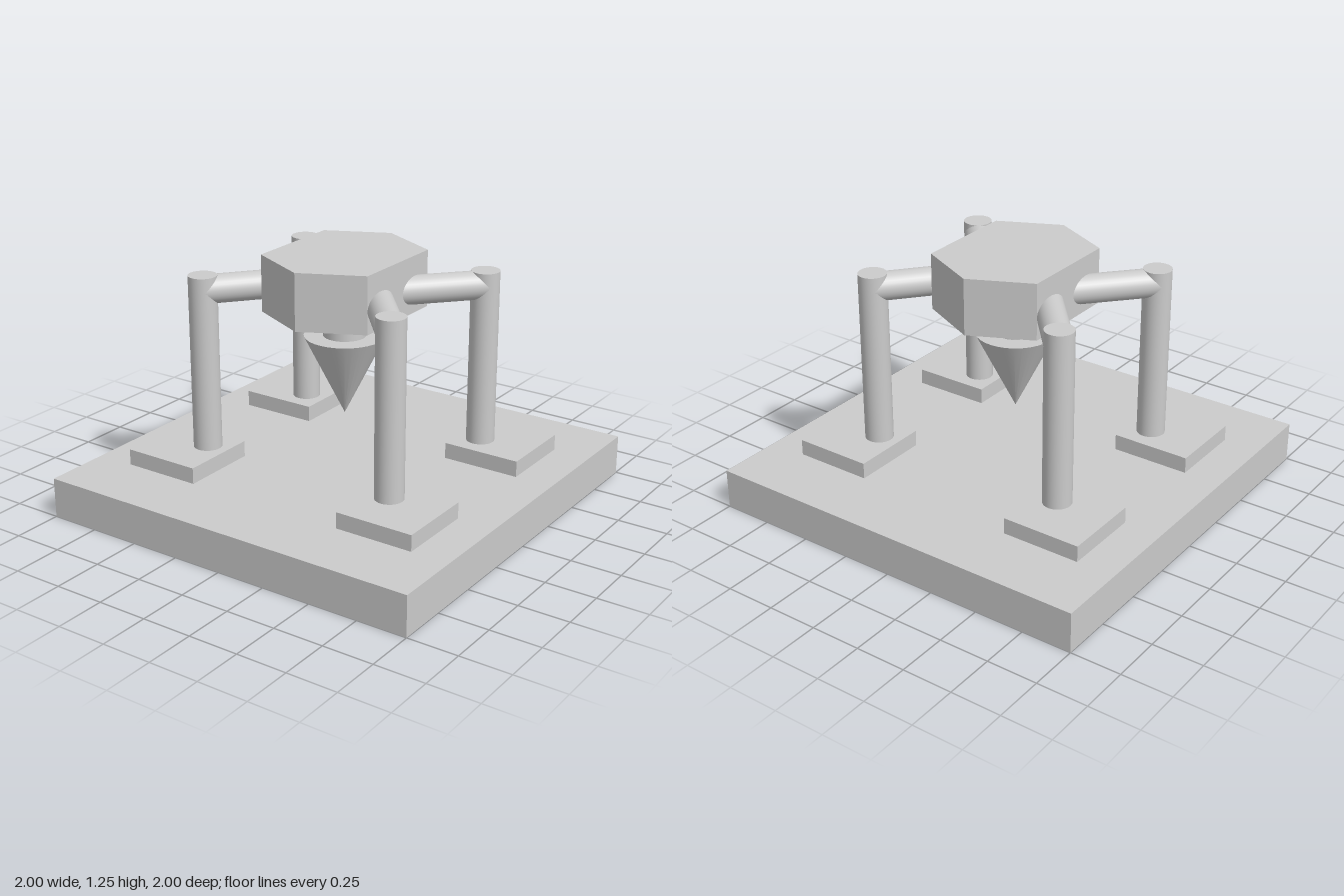
import * as THREE from 'three';

export function createModel() {
  const model = new THREE.Group();
  const material = new THREE.MeshStandardMaterial({ color: 0xcccccc });

  const add = (name, geometry, x, y, z) => {
    const mesh = new THREE.Mesh(geometry, material);
    mesh.name = name;
    mesh.position.set(x, y, z);
    model.add(mesh);
    return mesh;
  };

  // Ground slab
  add('base', new THREE.BoxGeometry(2, 0.2, 2), 0, 0.1, 0);

  // Six-sided body
  const outline = new THREE.Shape([
    [0, 0.4], [-0.3, 0.255], [-0.3, -0.255], [0, -0.4], [0.3, -0.255], [0.3, 0.255],
  ].map(([x, y]) => new THREE.Vector2(x, y)));
  const bodyGeometry = new THREE.ExtrudeGeometry(outline, { depth: 0.28, bevelEnabled: false });
  bodyGeometry.rotateX(-Math.PI / 2);
  add('body', bodyGeometry, 0, 0.97, 0);

  // Neck and downward cone beneath the body
  add('neck', new THREE.CylinderGeometry(0.105, 0.105, 0.15, 32), 0, 0.905, 0);
  add('nozzleCone', new THREE.CylinderGeometry(0.197, 0, 0.4, 32), 0, 0.64, 0);

  // Four corners: foot pad, upright leg and arm into the body
  const up = new THREE.Vector3(0, 1, 0);
  for (const sx of [-1, 1]) {
    for (const sz of [-1, 1]) {
      const corner = (sz > 0 ? 'front' : 'back') + (sx > 0 ? 'Left' : 'Right');
      add(corner + 'FootPad', new THREE.BoxGeometry(0.396, 0.08, 0.396), sx * 0.611, 0.24, sz * 0.469);
      add(corner + 'Leg', new THREE.CylinderGeometry(0.07, 0.07, 0.88, 32), sx * 0.528, 0.71, sz * 0.411);

      const outer = new THREE.Vector3(sx * 0.528, 1.079, sz * 0.411);
      const inner = new THREE.Vector3(sx * 0.2, 1.083, sz * 0.032);
      const along = outer.clone().sub(inner);
      const middle = outer.clone().add(inner).multiplyScalar(0.5);
      const arm = add(corner + 'Arm', new THREE.CylinderGeometry(0.07, 0.07, along.length(), 32),
        middle.x, middle.y, middle.z);
      arm.quaternion.setFromUnitVectors(up, along.normalize());
    }
  }

  return model;
}
